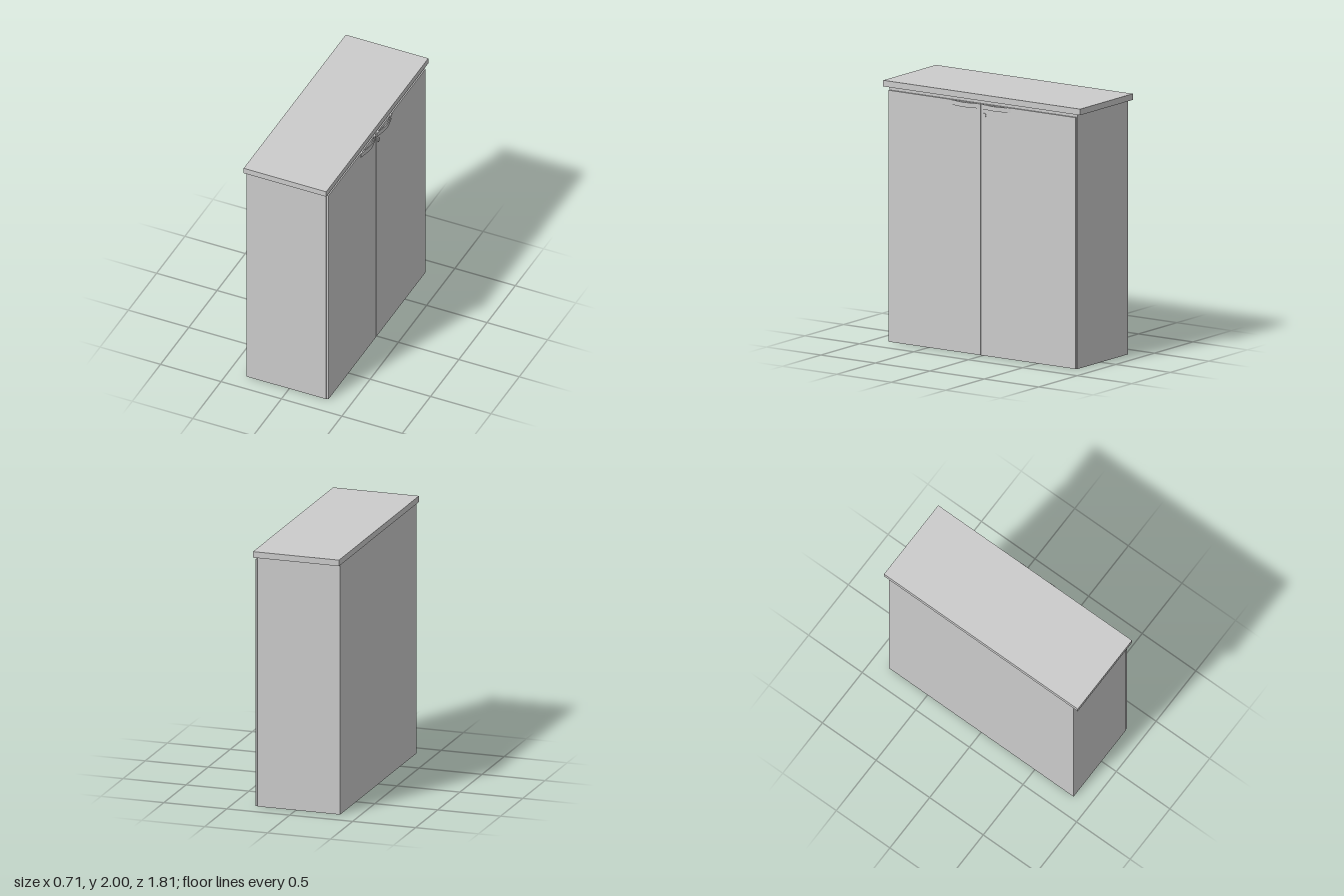
import * as THREE from 'three';

const material = new THREE.MeshStandardMaterial({ color: 0xcccccc });

// Box given by its minimum and maximum corners
function box(name, [x0, y0, z0], [x1, y1, z1]) {
  const mesh = new THREE.Mesh(new THREE.BoxGeometry(x1 - x0, y1 - y0, z1 - z0), material);
  mesh.position.set((x0 + x1) / 2, (y0 + y1) / 2, (z0 + z1) / 2);
  mesh.name = name;
  return mesh;
}

// Bowed pull: a bell-shaped strip seen from above, extruded upwards
function handle(name, zCentre) {
  const length = 0.27, rise = 0.019, thickness = 0.008, steps = 24;
  const bell = t => rise * (1 - Math.cos(2 * Math.PI * t)) / 2;
  const outer = [], inner = [];
  for (let i = 0; i <= steps; i++) {
    const t = i / steps, along = (t - 0.5) * length;
    const edge = Math.min(1, 0.3 + 10 * Math.min(t, 1 - t)); // thinner at the tips
    outer.push(new THREE.Vector2(bell(t) + thickness * edge, along));
    inner.unshift(new THREE.Vector2(bell(t), along));
  }
  const geometry = new THREE.ExtrudeGeometry(new THREE.Shape([...inner, ...outer]), {
    depth: 0.036, bevelEnabled: false,
  });
  geometry.rotateX(-Math.PI / 2);
  const mesh = new THREE.Mesh(geometry, material);
  mesh.position.set(0.323, 1.892, zCentre);
  mesh.name = name;
  return mesh;
}

export function createModel() {
  const group = new THREE.Group();
  group.name = 'cabinet';

  // Carcass and overhanging worktop
  group.add(box('carcass', [-0.352, 0, -0.862], [0.305, 1.953, 0.862]));
  group.add(box('worktop', [-0.357, 1.953, -0.903], [0.326, 2, 0.905]));

  // Pair of doors with a narrow gap between them
  group.add(box('leftDoor', [0.308, 0.003, -0.859], [0.323, 1.929, 0.010]));
  group.add(box('rightDoor', [0.308, 0.003, 0.016], [0.323, 1.929, 0.859]));

  // Door pulls
  group.add(handle('leftHandle', -0.127));
  group.add(handle('rightHandle', 0.153));

  // Round lock below the pull
  const lock = new THREE.Mesh(new THREE.CylinderGeometry(0.017, 0.017, 0.01, 24), material);
  lock.rotation.z = -Math.PI / 2;
  lock.position.set(0.324, 1.844, -0.022);
  lock.name = 'lock';
  group.add(lock);

  return group;
}
